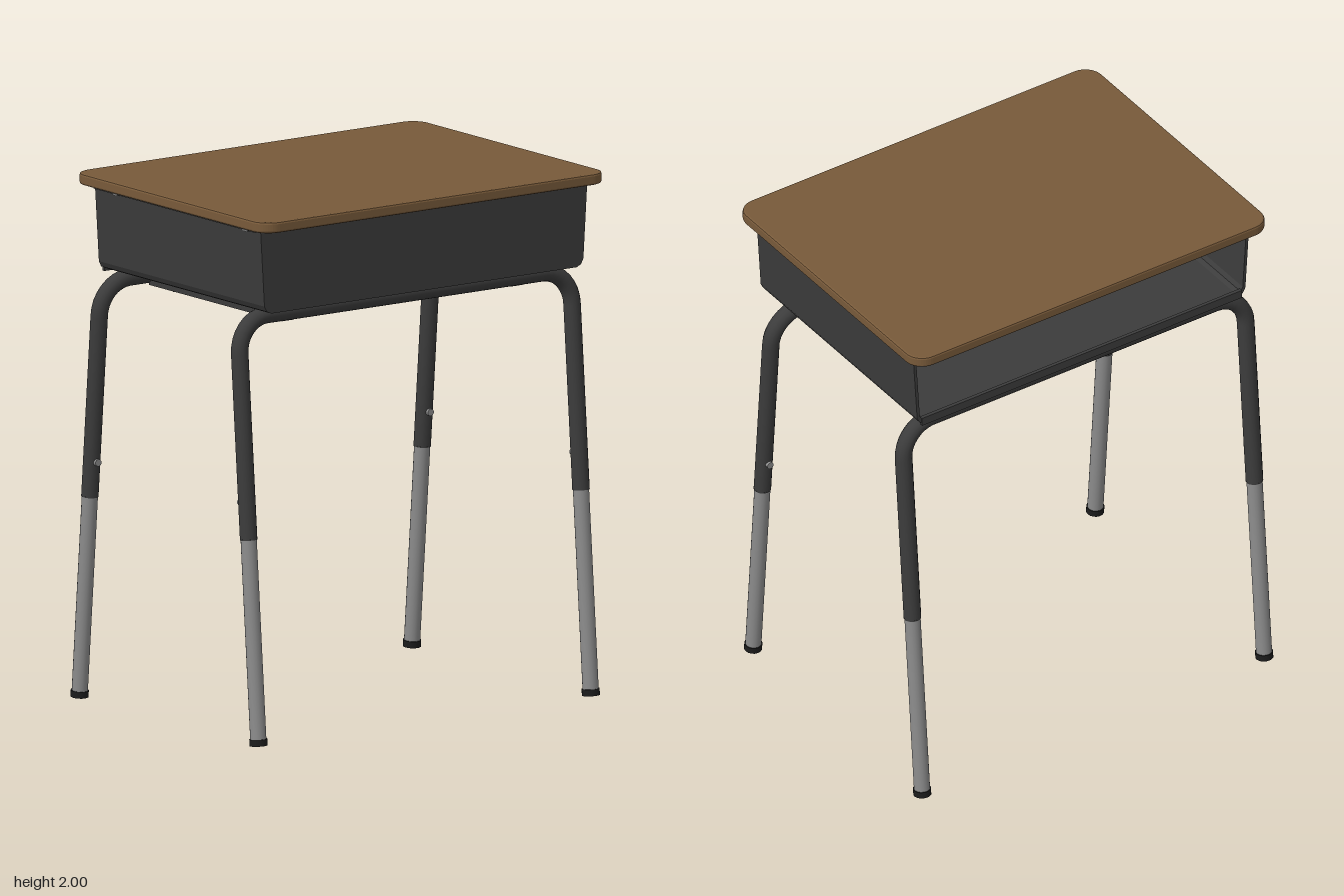
import * as THREE from 'three';

const mat = (name, color, side = THREE.FrontSide) => {
  const m = new THREE.MeshStandardMaterial({ color, side });
  m.name = name;
  return m;
};

export function createModel() {
  const wood = mat('brown wood', 0x785a3a);
  const metal = mat('dark metal', 0x3c3c3c, THREE.DoubleSide);
  const steel = mat('grey steel', 0x8c8c8c);
  const rubber = mat('black rubber', 0x1c1c1c);

  const desk = new THREE.Group();
  desk.name = 'desk';
  const add = (name, geometry, material, parent = desk) => {
    const mesh = new THREE.Mesh(geometry, material);
    mesh.name = name;
    parent.add(mesh);
    return mesh;
  };
  const box = (name, w, h, d, x, y, z, material = metal) =>
    add(name, new THREE.BoxGeometry(w, h, d), material).position.set(x, y, z);
  // cylinder running between two points
  const rod = (name, a, b, r, material, sides = 16) => {
    const dir = b.clone().sub(a);
    const mesh = add(name, new THREE.CylinderGeometry(r, r, dir.length(), sides), material);
    mesh.position.copy(a).add(b).multiplyScalar(0.5);
    mesh.quaternion.setFromUnitVectors(new THREE.Vector3(0, 1, 0), dir.normalize());
    return mesh;
  };

  // wooden top with rounded corners and a softened edge
  const bevel = 0.008, hw = 0.8 - bevel, hd = 0.6 - bevel, r = 0.065;
  const outline = new THREE.Shape();
  outline.moveTo(-hw + r, -hd);
  outline.absarc(hw - r, -hd + r, r, -Math.PI / 2, 0);
  outline.absarc(hw - r, hd - r, r, 0, Math.PI / 2);
  outline.absarc(-hw + r, hd - r, r, Math.PI / 2, Math.PI);
  outline.absarc(-hw + r, -hd + r, r, Math.PI, Math.PI * 1.5);
  const topGeo = new THREE.ExtrudeGeometry(outline, {
    depth: 0.042 - 2 * bevel, bevelEnabled: true, bevelThickness: bevel,
    bevelSize: bevel, bevelSegments: 2, curveSegments: 6,
  });
  topGeo.rotateX(-Math.PI / 2);
  add('desktop', topGeo, wood).position.set(0, 1.958 + bevel, 0.013);

  // book box: flared U section, open towards the back
  const half = (top, bottom, low, rad) => [
    [top, 1.957], [bottom + 0.002, low + rad], [bottom - rad * 0.3, low + rad * 0.3], [bottom - rad, low],
  ];
  const outer = half(0.757, 0.737, 1.636, 0.03);
  const inner = half(0.745, 0.725, 1.648, 0.025);
  const mirror = (pts) => pts.map(([x, y]) => [-x, y]).reverse();
  const ring = [...outer, ...mirror(outer), ...inner.map(([x, y]) => [-x, y]), ...mirror(inner.map(([x, y]) => [-x, y]))];
  const uShape = new THREE.Shape(ring.map(([x, y]) => new THREE.Vector2(x, y)));
  const uGeo = new THREE.ExtrudeGeometry(uShape, { depth: 1.03, bevelEnabled: false });
  add('bookBoxShell', uGeo, metal).position.z = -0.5;

  // front wall of the book box
  const wall = new THREE.Shape([...outer, ...mirror(outer)].map(([x, y]) => new THREE.Vector2(x, y)));
  const wallGeo = new THREE.ExtrudeGeometry(wall, { depth: 0.012, bevelEnabled: false });
  add('bookBoxFront', wallGeo, metal).position.z = 0.521;

  // hemmed lip along the open edge
  box('bookBoxLip', 1.44, 0.034, 0.014, 0, 1.645, -0.497);

  for (const s of [-1, 1]) {
    // rim flanges screwed to the underside of the top
    box('rimFlange', 0.036, 0.008, 1.0, s * 0.757, 1.953, 0.015);
    for (const z of [-0.35, 0.46]) box('rimScrew', 0.018, 0.006, 0.03, s * 0.768, 1.948, z, steel);
    // support rails between the two leg frames, with bolts beneath
    box('supportRail', 0.055, 0.07, 0.83, s * 0.53, 1.6, -0.018);
    for (const z of [-0.3, 0.27]) {
      const bolt = add('railBolt', new THREE.CylinderGeometry(0.014, 0.014, 0.008, 8), metal);
      bolt.position.set(s * 0.53, 1.563, z);
    }
  }

  // two bent leg frames, splayed front and back
  const frames = [
    { side: 1, zTop: 0.41, slope: 0.08 },
    { side: -1, zTop: -0.445, slope: 0.084 },
  ];
  for (const { side, zTop, slope } of frames) {
    const at = (x, y) => new THREE.Vector3(x, y, zTop + side * (1.603 - y) * slope);
    const path = new THREE.CurvePath();
    const bend = 0.13, x = 0.77, y = 1.603;
    const k = bend * 0.448;
    path.add(new THREE.LineCurve3(at(-x, 0.775), at(-x, y - bend)));
    path.add(new THREE.CubicBezierCurve3(at(-x, y - bend), at(-x, y - k), at(-x + k, y), at(-x + bend, y)));
    path.add(new THREE.LineCurve3(at(-x + bend, y), at(x - bend, y)));
    path.add(new THREE.CubicBezierCurve3(at(x - bend, y), at(x - k, y), at(x, y - k), at(x, y - bend)));
    path.add(new THREE.LineCurve3(at(x, y - bend), at(x, 0.775)));
    add('legFrame', new THREE.TubeGeometry(path, 120, 0.033, 14, false), metal);

    for (const s of [-1, 1]) {
      rod('lowerLeg', at(s * x, 0.02), at(s * x, 0.82), 0.0305, steel);
      rod('footCap', at(s * x, 0.003), at(s * x, 0.028), 0.034, rubber);
      // height adjustment screw on the inner face of the leg
      const screw = at(s * x, 0.91);
      screw.z -= side * 0.03;
      const tip = screw.clone();
      tip.z -= side * 0.013;
      rod('heightScrew', screw, tip, 0.014, steel, 10);
      // closing ring at the end of the upper tube
      rod('tubeEnd', at(s * x, 0.775), at(s * x, 0.779), 0.033, metal);
    }
  }

  return desk;
}
